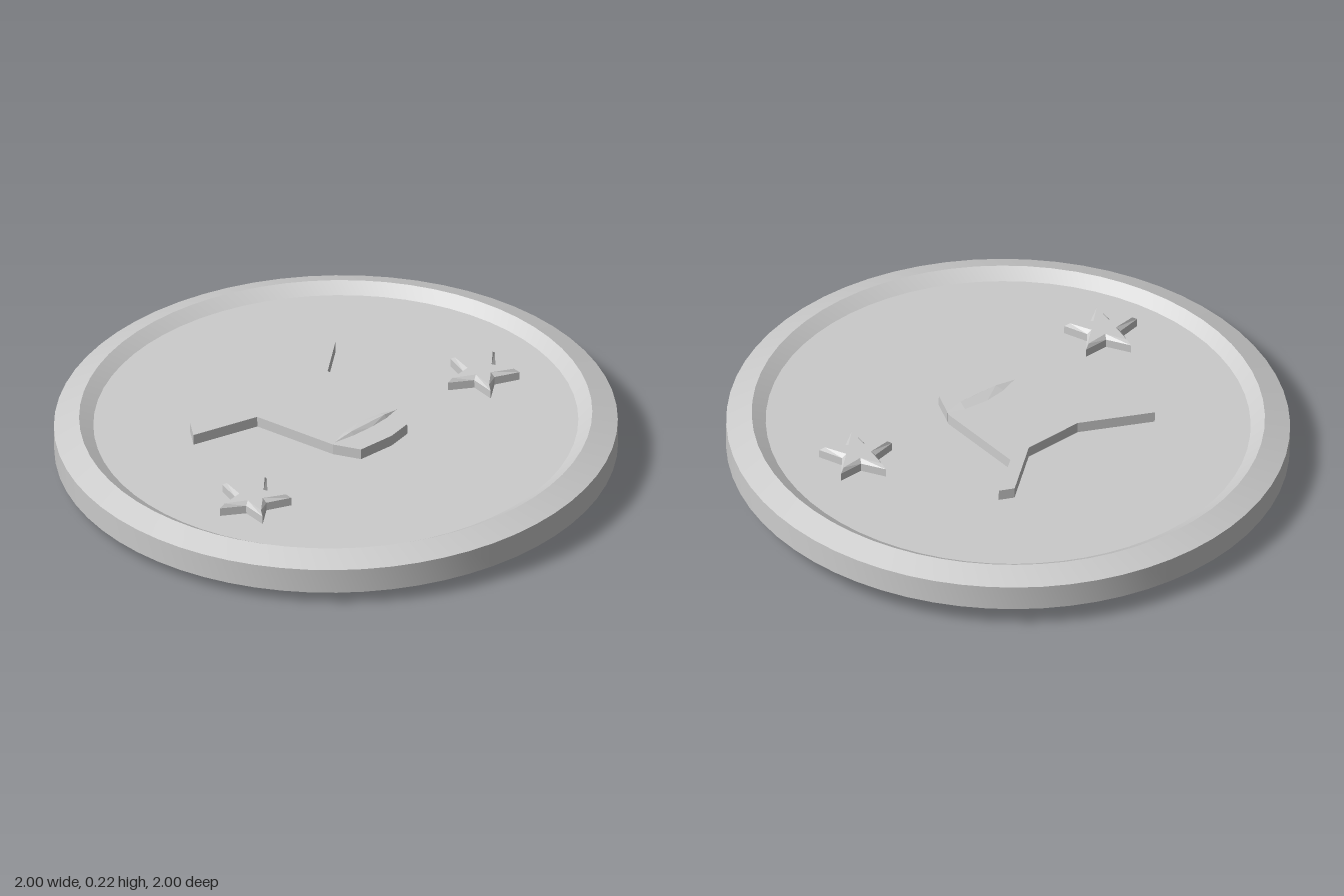
import * as THREE from 'three';
import { toCreasedNormals } from 'three/addons/utils/BufferGeometryUtils.js';
import { ConvexGeometry } from 'three/addons/geometries/ConvexGeometry.js';

const material = new THREE.MeshStandardMaterial({ color: 0xcccccc });

function addPart(parent, name, geometry) {
  const mesh = new THREE.Mesh(geometry, material);
  mesh.name = name;
  parent.add(mesh);
  return mesh;
}

// Relief passing through the coin, so it stands out on both faces.
// Outline points are [x, z]; the solid spans y = -half to +half.
function reliefGeometry(outline, half, bevel) {
  const shape = new THREE.Shape(outline.map(([x, z]) => new THREE.Vector2(x, -z)));
  const geometry = new THREE.ExtrudeGeometry(shape, {
    depth: 2 * (half - bevel),
    bevelEnabled: bevel > 0,
    bevelThickness: bevel,
    bevelSize: bevel,
    bevelOffset: -bevel,
    bevelSegments: 1,
  });
  geometry.translate(0, 0, -(half - bevel));
  geometry.rotateX(-Math.PI / 2);
  return geometry;
}

function starOutline(outer, inner) {
  return Array.from({ length: 10 }, (_, i) => {
    const r = i % 2 ? inner : outer;
    const a = (i * Math.PI) / 5;
    return [-r * Math.sin(a), -r * Math.cos(a)];
  });
}

export function createModel() {
  const model = new THREE.Group();
  model.name = 'medallion';
  const coin = new THREE.Group();
  coin.name = 'coin';
  coin.position.y = 0.111;
  coin.rotation.z = 0.021; // slight lean
  model.add(coin);

  // Disc with bevelled raised rim and sunken faces
  const half = [[0.86, 0.05], [0.91, 0.082], [1, 0.047]];
  const profile = [
    [0, -0.05],
    ...half.map(([r, y]) => [r, -y]),
    ...half.slice().reverse(),
    [0, 0.05],
  ].map(([r, y]) => new THREE.Vector2(r, y));
  addPart(coin, 'disc', toCreasedNormals(new THREE.LatheGeometry(profile, 64), 0.3));

  // Horned animal head
  const head = [
    [-0.43, -0.3], [-0.195, -0.2], [-0.175, 0.13], [-0.14, 0.23], [0, 0.257],
    [0.095, 0.25], [0.155, 0.145], [0.2, -0.2], [0.365, -0.3], [0.315, -0.33],
    [0.1, -0.195], [-0.13, -0.215], [-0.37, -0.365],
  ];
  addPart(coin, 'head', reliefGeometry(head, 0.09, 0));

  // Low ridge across the muzzle, on both faces
  const foot = [
    [-0.17, 0.125], [-0.09, 0.106], [0, 0.105], [0.09, 0.125],
    [0.15, 0.158], [0.08, 0.167], [0, 0.163], [-0.08, 0.15],
  ];
  const crest = [[-0.08, 0.138], [0, 0.148], [0.08, 0.158]];
  const ridge = [];
  for (const side of [1, -1]) {
    for (const [x, z] of foot) ridge.push(new THREE.Vector3(x, side * 0.089, z));
    for (const [x, z] of crest) ridge.push(new THREE.Vector3(x, side * 0.102, z));
  }
  addPart(coin, 'muzzleRidge', new ConvexGeometry(ridge));

  // Bevelled stars on either side
  const star = reliefGeometry(starOutline(0.138, 0.063), 0.095, 0.014);
  addPart(coin, 'rightStar', star).position.set(-0.615, 0, 0.122);
  addPart(coin, 'leftStar', star).position.set(0.543, 0, 0.22);

  return model;
}
